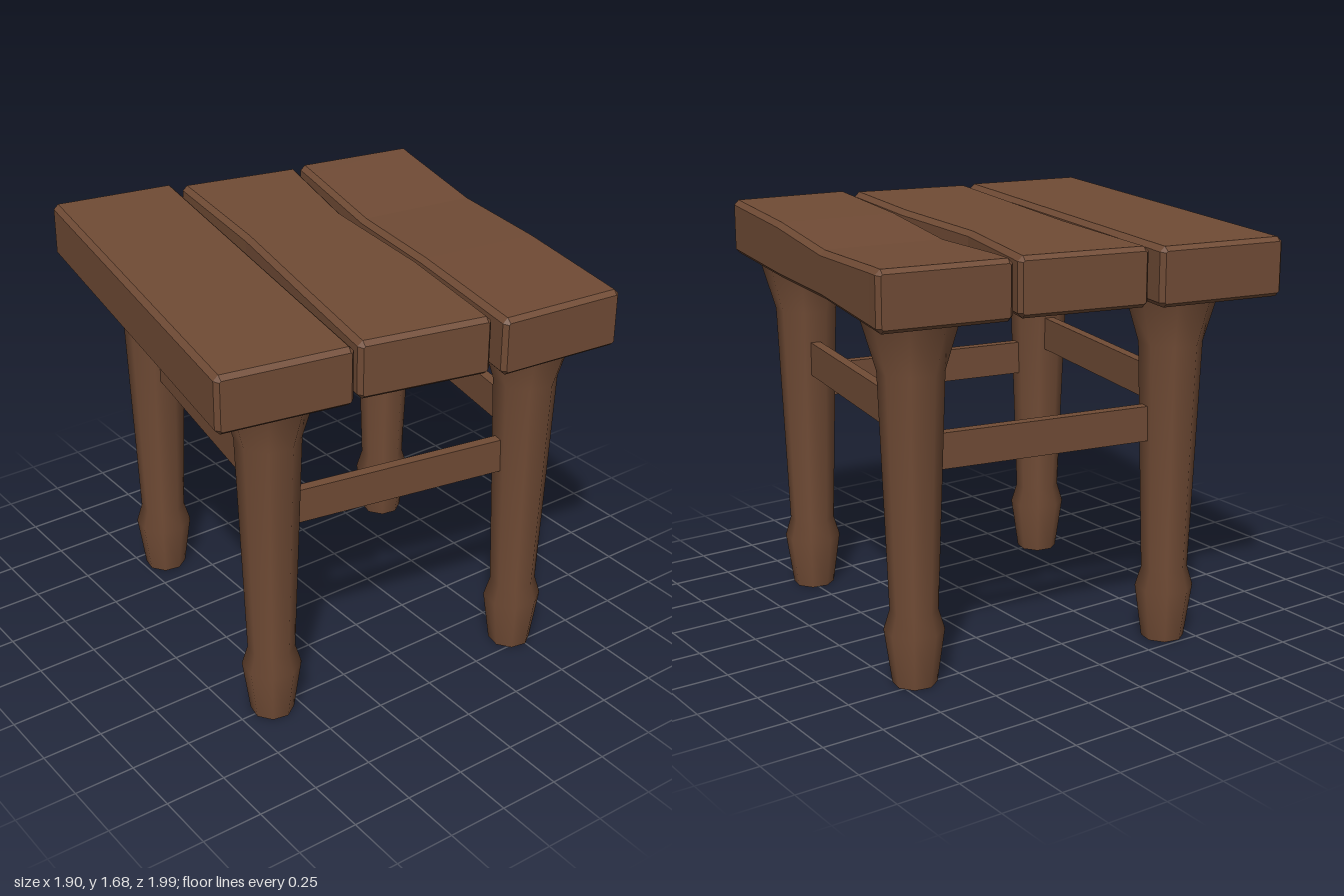
import * as THREE from 'three';

const wood = new THREE.MeshStandardMaterial({ color: 0x704b35 });
wood.name = 'brown wood';

const BOTTOM = 1.447, TOP = 1.677, BEVEL = 0.02;
const TURN = -Math.PI / 18; // the whole stool stands turned by ten degrees

// Chamfered cross-section between a left and a right point, counterclockwise from the front
function section(l, r, yb, yt, c) {
  const at = (t, y) => [l[0] + (r[0] - l[0]) * t, y, l[1] + (r[1] - l[1]) * t];
  const u = c / Math.hypot(r[0] - l[0], r[1] - l[1]);
  return [at(u, yb), at(1 - u, yb), at(1, yb + c), at(1, yt - c),
    at(1 - u, yt), at(u, yt), at(0, yt - c), at(0, yb + c)];
}

// Plank lofted through stations [left, right, top, bottom], front to back, with bevelled ends
function plank(name, stations) {
  const toward = (p, q, d) => {
    const k = d / Math.hypot(q[0] - p[0], q[1] - p[1]);
    return [p[0] + (q[0] - p[0]) * k, p[1] + (q[1] - p[1]) * k];
  };
  const full = ([l, r, yt = TOP, yb = BOTTOM]) => section(l, r, yb, yt, BEVEL);
  const end = ([l, r, yt = TOP, yb = BOTTOM]) => section(toward(l, r, BEVEL * 0.8), toward(r, l, BEVEL * 0.8),
    yb + BEVEL * 0.8, yt - BEVEL * 0.8, 0.006);
  const inner = (s, next) => full([toward(s[0], next[0], BEVEL), toward(s[1], next[1], BEVEL), s[2], s[3]]);
  const n = stations.length, first = stations[0], last = stations[n - 1];
  const rings = [end(first), inner(first, stations[1]), ...stations.slice(1, -1).map(full),
    inner(last, stations[n - 2]), end(last)];

  const pos = [];
  const tri = (a, b, c) => pos.push(...a, ...b, ...c);
  for (let i = 0; i < rings.length - 1; i++) {
    for (let j = 0; j < 8; j++) {
      const k = (j + 1) % 8, f = rings[i], b = rings[i + 1];
      tri(f[j], f[k], b[j]);
      tri(f[k], b[k], b[j]);
    }
  }
  // side faces are wound inward above, so flip them before adding the end caps
  for (let i = 0; i < pos.length; i += 9) {
    for (let m = 0; m < 3; m++) [pos[i + 3 + m], pos[i + 6 + m]] = [pos[i + 6 + m], pos[i + 3 + m]];
  }
  const f = rings[0], b = rings[rings.length - 1];
  for (let j = 1; j < 7; j++) {
    tri(f[0], f[j], f[j + 1]);
    tri(b[0], b[j + 1], b[j]);
  }
  const geo = new THREE.BufferGeometry();
  geo.setAttribute('position', new THREE.Float32BufferAttribute(pos, 3));
  geo.computeVertexNormals();
  const mesh = new THREE.Mesh(geo, wood);
  mesh.name = name;
  return mesh;
}

// Turned eight-sided leg with a flared head and a shaped foot
function leg(name, [x, z]) {
  const g = new THREE.Group();
  g.name = name;
  const profile = [[0.087, 0], [0.118, 0.22], [0.094, 0.3], [0.127, 1.24], [0.186, 1.44]];
  const body = new THREE.Mesh(new THREE.LatheGeometry(profile.map(p => new THREE.Vector2(...p)), 8, Math.PI / 8), wood);
  body.name = name + 'Shaft';
  g.add(body);
  for (const [r, y, tilt] of [[0.087, 0, Math.PI / 2], [0.186, 1.44, -Math.PI / 2]]) {
    const cap = new THREE.Mesh(new THREE.CircleGeometry(r, 8, Math.PI / 8).rotateX(tilt), wood);
    cap.position.y = y;
    cap.name = name + (y ? 'Head' : 'Sole');
    g.add(cap);
  }
  g.position.set(x, 0, z);
  g.rotation.y = TURN;
  return g;
}

// Flat rail running between two legs
function rail(name, a, b, y) {
  const dx = b[0] - a[0], dz = b[1] - a[1];
  const mesh = new THREE.Mesh(new THREE.BoxGeometry(Math.hypot(dx, dz) - 0.19, 0.142, 0.042), wood);
  mesh.position.set((a[0] + b[0]) / 2, y, (a[1] + b[1]) / 2);
  mesh.rotation.y = -Math.atan2(dz, dx);
  mesh.name = name;
  return mesh;
}

export function createModel() {
  const model = new THREE.Group();
  model.name = 'stool';

  // Seat: three planks, the middle one waisted and the left one worn down
  model.add(
    plank('rightPlank', [[[-0.955, 0.71], [-0.43, 0.802]], [[-0.655, -1.0], [-0.133, -0.908]]]),
    plank('middlePlank', [
      [[-0.403, 0.785], [0.115, 0.898]],
      [[-0.302, 0.27], [0.21, 0.345]],
      [[-0.2, -0.24], [0.262, -0.22]],
      [[-0.112, -0.868], [0.402, -0.755]]]),
    plank('leftPlank', [
      [[0.13, 0.945], [0.652, 0.995]],
      [[0.237, 0.33], [0.757, 0.4], 1.672],
      [[0.325, -0.17], [0.845, -0.1], 1.647, 1.46],
      [[0.409, -0.65], [0.933, -0.6], 1.674],
      [[0.432, -0.772], [0.95, -0.68]]]));

  // Legs
  const fr = [-0.605, 0.5], fl = [0.48, 0.69], br = [-0.4, -0.655], bl = [0.682, -0.465];
  model.add(leg('frontRightLeg', fr), leg('frontLeftLeg', fl), leg('backRightLeg', br), leg('backLeftLeg', bl));

  // Rails: low ones front and back, high ones at the sides
  model.add(
    rail('frontRail', fr, fl, 0.92), rail('backRail', br, bl, 0.92),
    rail('rightRail', fr, br, 1.042), rail('leftRail', fl, bl, 1.042));
  return model;
}
